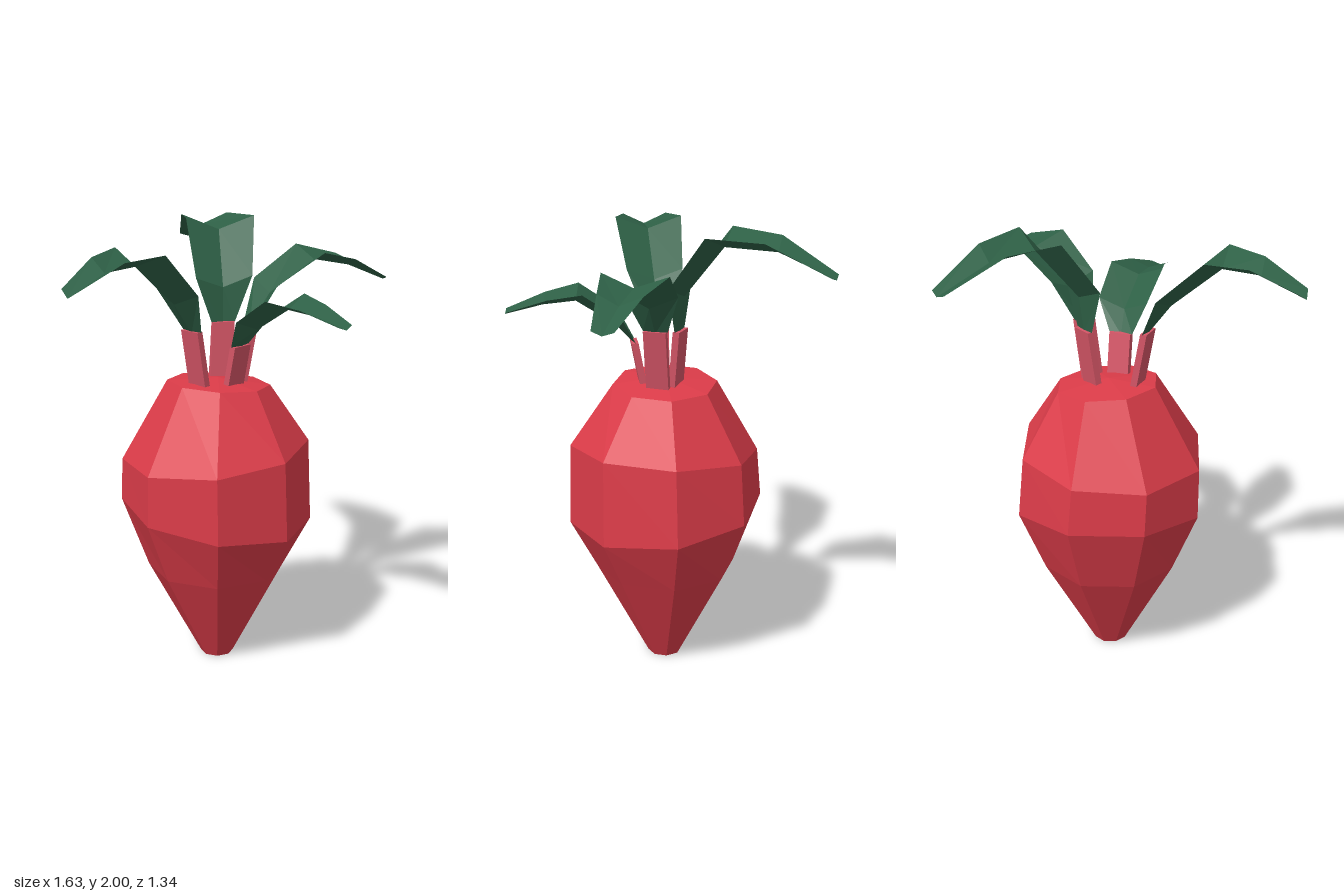
import * as THREE from 'three';

const material = (name, color, extra = {}) => new THREE.MeshStandardMaterial({ name, color, ...extra });

// Joins equal-length rows of points into a faceted surface
function loft(rows) {
  const pos = [];
  for (let i = 0; i < rows.length - 1; i++) {
    for (let k = 0; k < rows[i].length - 1; k++) {
      const a = rows[i][k], b = rows[i + 1][k], c = rows[i + 1][k + 1], d = rows[i][k + 1];
      for (const p of [a, b, c, a, c, d]) pos.push(p.x, p.y, p.z);
    }
  }
  const geo = new THREE.BufferGeometry();
  geo.setAttribute('position', new THREE.Float32BufferAttribute(pos, 3));
  geo.computeVertexNormals();
  return geo;
}

// Eight-sided root; each ring is centre x, y, z, radius, then tilt along x and z
const ROOT_RINGS = [
  [0.05, 1.33, -0.015, 0, 0, 0],
  [0.055, 1.305, -0.015, 0.23, -0.018, 0],
  [0.033, 0.997, -0.015, 0.42, 0.035, 0.025],
  [0.045, 0.71, -0.02, 0.432, -0.02, -0.05],
  [0.045, 0.44, -0.02, 0.312, 0, 0],
  [0.045, 0, -0.015, 0.075, 0, 0],
  [0.045, 0, -0.015, 0, 0, 0],
];

function rootGeometry() {
  return loft(ROOT_RINGS.map(([x, y, z, r, tx, tz]) => {
    const ring = [];
    for (let k = 0; k <= 8; k++) {
      const s = Math.sin(k * Math.PI / 4), c = Math.cos(k * Math.PI / 4);
      ring.push(new THREE.Vector3(x + r * s, y + tx * s + tz * c, z + r * c));
    }
    return ring;
  }));
}

// Leaf folded into a shallow gutter; rows are crease x, y, z, half width, edge lift
function leafGeometry(rows, dir) {
  const side = new THREE.Vector3(dir.z, 0, -dir.x);
  return loft(rows.map(([x, y, z, w, lift]) => {
    const crease = new THREE.Vector3(x, y, z);
    const edge = (s) => crease.clone().addScaledVector(side, s * w)
      .addScaledVector(dir, -0.4 * lift).setY(y + lift);
    return [edge(-1), crease, edge(1)];
  }));
}

// Flat stalk leaning from its base to the foot of the leaf
function stalkGeometry(base, top, dir) {
  const side = new THREE.Vector3(dir.z, 0, -dir.x);
  const geo = new THREE.BoxGeometry(0.1, 1, 0.03);
  const p = geo.attributes.position;
  for (let i = 0; i < p.count; i++) {
    const v = base.clone().lerp(top, p.getY(i) + 0.5)
      .addScaledVector(side, p.getX(i)).addScaledVector(dir, p.getZ(i));
    p.setXYZ(i, v.x, v.y, v.z);
  }
  geo.computeVertexNormals();
  return geo;
}

const SPROUTS = [
  { name: 'right', base: [-0.078, 1.29, 0], dir: [-1, 0], rows: [
    [-0.13, 1.56, 0, 0.055, 0.01], [-0.235, 1.70, 0, 0.125, 0.05], [-0.455, 1.89, 0.005, 0.15, 0.06],
    [-0.625, 1.885, 0.005, 0.1, 0.05], [-0.82, 1.81, 0.005, 0.05, 0.03]] },
  { name: 'front', base: [0.045, 1.29, 0.08], dir: [0, 1], rows: [
    [0.05, 1.485, 0.12, 0.055, 0.01], [0.07, 1.575, 0.2, 0.115, 0.045], [0.075, 1.685, 0.37, 0.125, 0.05],
    [0.085, 1.675, 0.51, 0.085, 0.035], [0.093, 1.64, 0.67, 0.042, 0.015]] },
  { name: 'left', base: [0.145, 1.29, 0.025], dir: [0.92, 0.39], rows: [
    [0.195, 1.56, 0.045, 0.055, 0.01], [0.28, 1.69, 0.08, 0.12, 0.05], [0.485, 1.825, 0.162, 0.143, 0.05],
    [0.64, 1.79, 0.235, 0.095, 0.04], [0.797, 1.715, 0.313, 0.047, 0.015]] },
  { name: 'back', base: [0.105, 1.29, -0.055], dir: [0.5, -0.866], rows: [
    [0.14, 1.55, -0.07, 0.055, 0.01], [0.155, 1.71, -0.085, 0.13, 0.05], [0.28, 1.94, -0.232, 0.16, 0.06],
    [0.385, 1.935, -0.435, 0.11, 0.05], [0.507, 1.84, -0.65, 0.048, 0.015]] },
];

export function createModel() {
  const model = new THREE.Group();
  model.name = 'rootVegetable';
  const red = material('rootRed', 0xdc3c49);
  const pink = material('stalkPink', 0xd45566);
  const green = material('leafGreen', 0x2e6046, { side: THREE.DoubleSide });

  const add = (name, geo, mat) => {
    const mesh = new THREE.Mesh(geo, mat);
    mesh.name = name;
    model.add(mesh);
  };

  add('root', rootGeometry(), red);

  // Four stalks, each carrying one arching leaf
  for (const { name, base, dir, rows } of SPROUTS) {
    const d = new THREE.Vector3(dir[0], 0, dir[1]).normalize();
    const foot = new THREE.Vector3(rows[0][0], rows[0][1] + 0.01, rows[0][2]);
    add(name + 'Stalk', stalkGeometry(new THREE.Vector3(...base), foot, d), pink);
    add(name + 'Leaf', leafGeometry(rows, d), green);
  }
  return model;
}
